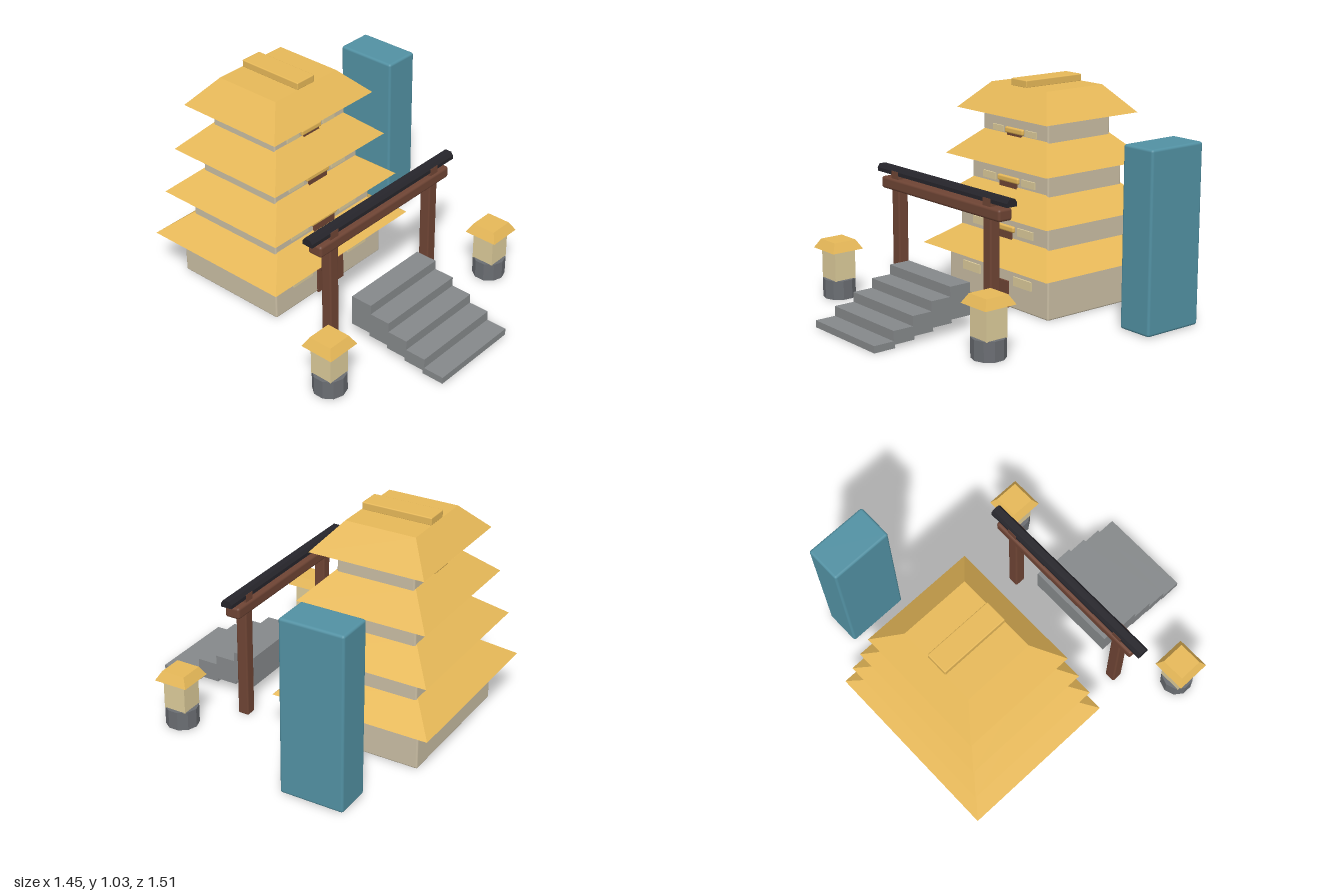
import * as THREE from 'three';
import { RoundedBoxGeometry } from 'three/addons/geometries/RoundedBoxGeometry.js';

const mat = (color) => new THREE.MeshStandardMaterial({ color });
const GOLD = mat(0xe6b858), WALL = mat(0xc9bda3), CREAM = mat(0xdccb9a), WOOD = mat(0x6e4434);
const DARK = mat(0x26252b), STONE = mat(0x85888a), BASE = mat(0x6a6d72), TEAL = mat(0x5291a3);

function add(parent, name, geometry, material, x, y, z) {
  const mesh = new THREE.Mesh(geometry, material);
  mesh.name = name;
  mesh.position.set(x, y, z);
  parent.add(mesh);
  return mesh;
}

const box = (w, h, d) => new THREE.BoxGeometry(w, h, d);
const round = (w, h, d, r = 0.008) => new RoundedBoxGeometry(w, h, d, 2, r);

// Box whose top is drawn in by the factors sx and sz
function taperedBox(w, h, d, sx, sz = sx) {
  const g = box(w, h, d);
  const p = g.attributes.position;
  for (let i = 0; i < p.count; i++) {
    if (p.getY(i) > 0) p.setXYZ(i, p.getX(i) * sx, p.getY(i), p.getZ(i) * sz);
  }
  g.computeVertexNormals();
  return g;
}

// Four storeys, each with a wall block, windows, sills and a hipped roof
function makePagoda() {
  const pagoda = new THREE.Group();
  pagoda.name = 'pagoda';
  pagoda.position.set(-0.087, 0, -0.135);
  for (let i = 0; i < 4; i++) {
    const tier = new THREE.Group();
    tier.name = 'storey' + (i + 1);
    pagoda.add(tier);
    const k = 1 - 0.12 * i;
    const hx = 0.355 - 0.0427 * i, hz = 0.291 - 0.035 * i;
    const rx = 0.447 - 0.0435 * i, rz = 0.38 - 0.0353 * i;
    const eave = 0.213 + 0.22 * i;
    const bottom = i === 0 ? 0 : eave - 0.14;
    const top = i === 3 ? eave + 0.005 : eave;
    add(tier, 'wall', round(hx * 2, top - bottom, hz * 2), WALL, 0, (top + bottom) / 2, 0);
    add(tier, 'roof', taperedBox(rx * 2, 0.124, rz * 2, 0.61), GOLD, 0, eave + 0.062, 0);
    if (i < 3) add(tier, 'eaveBoard', box(rx * 1.72, 0.014, rz * 1.72), GOLD, 0, eave - 0.007, 0);

    // Window pair on the front
    const windowTop = 0.155 + 0.218 * i;
    const inner = 0.121 - 0.014 * i, outer = 0.245 - 0.031 * i;
    for (const s of [-1, 1]) {
      add(tier, 'window', box(outer - inner, 0.042 * k, 0.012), CREAM,
        s * (inner + outer) / 2, windowTop - 0.021 * k, hz + 0.002);
    }
    // Door on the front, gold bars on front and back of the upper storeys
    if (i === 0) {
      add(tier, 'door', box(0.17, 0.125, 0.016), WOOD, 0, 0.0625, hz + 0.002);
    } else {
      const w = 0.17 - 0.022 * (i - 1);
      add(tier, 'door', box(w * 0.8, 0.06, 0.012), WOOD, 0, windowTop - 0.032, hz + 0.002);
      for (const s of [-1, 1]) {
        add(tier, 'balconyBar', round(w, 0.028, 0.026), GOLD, 0, windowTop - 0.014, s * hz);
      }
    }
  }
  add(pagoda, 'ridge', round(0.107, 0.036, 0.333, 0.005), GOLD, 0, 1.012, 0);
  return pagoda;
}

// Gate with two posts, a wooden crossbeam and a dark top rail
function makeGate() {
  const gate = new THREE.Group();
  gate.name = 'gate';
  gate.position.set(-0.086, 0, 0.46);
  for (const s of [-1, 1]) {
    add(gate, 'gatePost', round(0.054, 0.605, 0.054), WOOD, s * 0.333, 0.3025, 0);
    add(gate, 'railBlock', box(0.05, 0.04, 0.056), WOOD, s * 0.333, 0.59, 0);
  }
  add(gate, 'crossbeam', round(0.857, 0.055, 0.074, 0.012), WOOD, 0, 0.548, 0);
  add(gate, 'railLower', box(0.94, 0.017, 0.054), DARK, 0, 0.6, 0);
  add(gate, 'railUpper', taperedBox(0.94, 0.016, 0.054, 1, 0.6), DARK, 0, 0.6165, 0);
  return gate;
}

// Five step blocks, each thicker and higher than the one before
function makeStairs() {
  const stairs = new THREE.Group();
  stairs.name = 'stairs';
  for (let i = 0; i < 5; i++) {
    const top = 0.032 + 0.0455 * i, bottom = 0.0163 * i;
    add(stairs, 'step', box(0.448, top - bottom, 0.107), STONE, -0.088, (top + bottom) / 2, 0.945 - 0.1 * i);
  }
  return stairs;
}

// Stone lantern: faceted foot, square lamp box and hipped cap
function makeLantern(name, x) {
  const lantern = new THREE.Group();
  lantern.name = name;
  lantern.position.set(x, 0, 0.656);
  const foot = new THREE.CylinderGeometry(0.076, 0.076, 0.09, 10).toNonIndexed();
  foot.computeVertexNormals();
  add(lantern, 'lanternFoot', foot, BASE, 0, 0.045, 0);
  add(lantern, 'lampBox', box(0.11, 0.145, 0.11), CREAM, 0, 0.16, 0);
  add(lantern, 'lanternCap', taperedBox(0.164, 0.043, 0.164, 0.7), GOLD, 0, 0.2525, 0);
  return lantern;
}

export function createModel() {
  const model = new THREE.Group();
  model.name = 'pagodaScene';
  model.add(makePagoda(), makeGate(), makeStairs());
  model.add(makeLantern('rightLantern', -0.644), makeLantern('leftLantern', 0.47));
  // Tall rounded slab beside the pagoda
  add(model, 'tealSlab', round(0.176, 0.822, 0.303, 0.012), TEAL, 0.633, 0.414, -0.171);
  return model;
}
